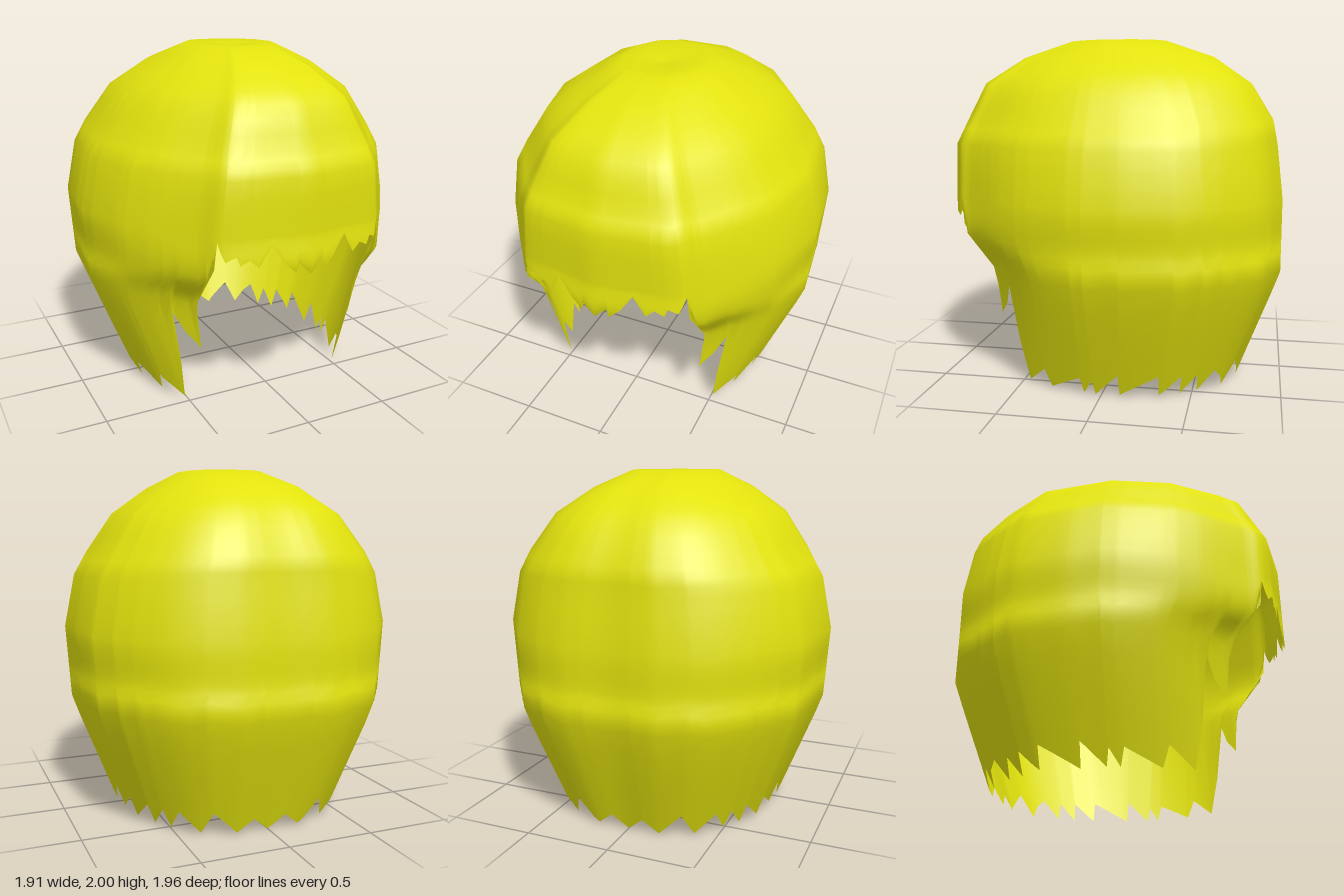
import * as THREE from 'three';

// Horizontal rings, bottom to crown: y, half width, front z, back z
const RINGS = [
  [0, 0.66, 0.78, -0.73], [0.67, 0.925, 0.78, -0.98], [0.88, 0.94, 0.98, -0.98],
  [1.1, 0.955, 0.98, -0.98], [1.4, 0.895, 0.98, -0.945], [1.53, 0.82, 0.92, -0.92],
  [1.75, 0.665, 0.82, -0.785], [1.9, 0.45, 0.59, -0.57], [2.0, 0.25, 0.3, -0.28],
  [1.985, 0, 0.04, 0.04],
];
const WALL_TOP = 3;      // ring where the dome starts
const CENTRE_Z = 0.04;

// Unit half outline of a ring, front centre to back centre: x, z
const OUTLINE = [
  [0, 1], [0.46, 0.93], [0.6, 0.79], [0.87, 0.43], [1, 0],
  [0.945, -0.5], [0.64, -0.87], [0.32, -1], [0, -1],
];

// Ragged lower edge: position along the outline, height
const FRINGE = [
  [0, 0.875], [0.16, 0.94], [0.19, 0.89], [0.34, 0.95], [0.5, 1.055], [0.66, 0.94],
  [0.77, 0.985], [0.89, 0.96], [0.93, 1.01], [1.16, 0.98], [1.27, 1.02], [1.38, 1.08],
];
const SIDEBURN = [[1.71, 0.67], [1.93, 0.39], [2.17, 0.48], [2.3, 0.6], [2.46, 0.24], [2.63, 0.01]];
const HEM = [
  [3.06, 0.12], [3.18, 0.01], [3.75, 0.105], [3.82, 0.01], [3.99, 0.1], [4.03, 0.01],
  [4.35, 0.14], [4.38, 0.01], [4.9, 0.14], [4.94, 0.02], [5.27, 0.13], [5.31, 0.01],
  [5.55, 0.12], [5.63, 0.01], [5.85, 0.13], [6.25, 0.005], [6.58, 0.135],
  [7.12, 0.005], [7.57, 0.08], [8, 0],
];
const EDGE = [...FRINGE, ...SIDEBURN, ...HEM];

// Value of a keyed row list at fractional index t, straight or curved
function sample(keys, t, smooth) {
  const last = keys.length - 1;
  const i = Math.min(Math.floor(t), last - 1);
  const f = t - i;
  const at = (n) => keys[Math.max(0, Math.min(last, n))];
  return keys[i].map((a, n) => {
    const b = keys[i + 1][n];
    if (!smooth) return a + (b - a) * f;
    const m0 = (b - at(i - 1)[n]) / 2, m1 = (at(i + 2)[n] - a) / 2;
    const f2 = f * f, f3 = f2 * f;
    return a * (2 * f3 - 3 * f2 + 1) + m0 * (f3 - 2 * f2 + f)
      + b * (3 * f2 - 2 * f3) + m1 * (f3 - f2);
  });
}

// Ring index at a given height of the wall
function ringAt(y) {
  let i = 0;
  while (i < WALL_TOP - 1 && y > RINGS[i + 1][0]) i++;
  return i + (y - RINGS[i][0]) / (RINGS[i + 1][0] - RINGS[i][0]);
}

// Columns follow every point of the edge and every corner of the outline
function makeColumns() {
  const stops = new Set(EDGE.map((e) => e[0]));
  for (let i = 0; i <= 32; i++) stops.add(i / 4);
  const half = [...stops].sort((a, b) => a - b).map((s) => {
    let i = 0;
    while (i < EDGE.length - 2 && s > EDGE[i + 1][0]) i++;
    const [s0, y0] = EDGE[i], [s1, y1] = EDGE[i + 1];
    return { s, side: 1, low: ringAt(y0 + (y1 - y0) * (s - s0) / (s1 - s0)) };
  });
  const mirrored = half.slice(1, -1).reverse().map((c) => ({ ...c, side: -1 }));
  return [...half, ...mirrored];
}

function shellGeometry(smooth) {
  const columns = makeColumns();
  const wallRows = 12, domeRows = (RINGS.length - 1 - WALL_TOP) * 3;
  const rows = wallRows + domeRows;
  const positions = [], index = [];
  for (const { s, side, low } of columns) {
    const [ox, oz] = sample(OUTLINE, s, smooth);
    for (let k = 0; k <= rows; k++) {
      const r = k <= wallRows
        ? low + (WALL_TOP - low) * k / wallRows
        : WALL_TOP + (k - wallRows) / 3;
      const [y, w, front, back] = sample(RINGS, r, smooth);
      const depth = oz > 0 ? front - CENTRE_Z : CENTRE_Z - back;
      positions.push(side * ox * w, y, CENTRE_Z + oz * depth);
    }
  }
  for (let c = 0; c < columns.length; c++) {
    const a = c * (rows + 1), b = ((c + 1) % columns.length) * (rows + 1);
    for (let k = 0; k < rows; k++) {
      index.push(a + k, b + k, b + k + 1, a + k, b + k + 1, a + k + 1);
    }
  }
  const geometry = new THREE.BufferGeometry();
  geometry.setAttribute('position', new THREE.Float32BufferAttribute(positions, 3));
  geometry.setIndex(index);
  geometry.computeVertexNormals();
  return geometry;
}

export function createModel() {
  const yellow = new THREE.MeshStandardMaterial({ color: 0xe2e20e, side: THREE.DoubleSide });
  yellow.name = 'hair yellow';

  // Angular outline shaded with the normals of its curved twin
  const geometry = shellGeometry(false);
  geometry.setAttribute('normal', shellGeometry(true).getAttribute('normal'));

  const hair = new THREE.Mesh(geometry, yellow);
  hair.name = 'hair';
  const model = new THREE.Group();
  model.name = 'wig';
  model.add(hair);
  return model;
}
